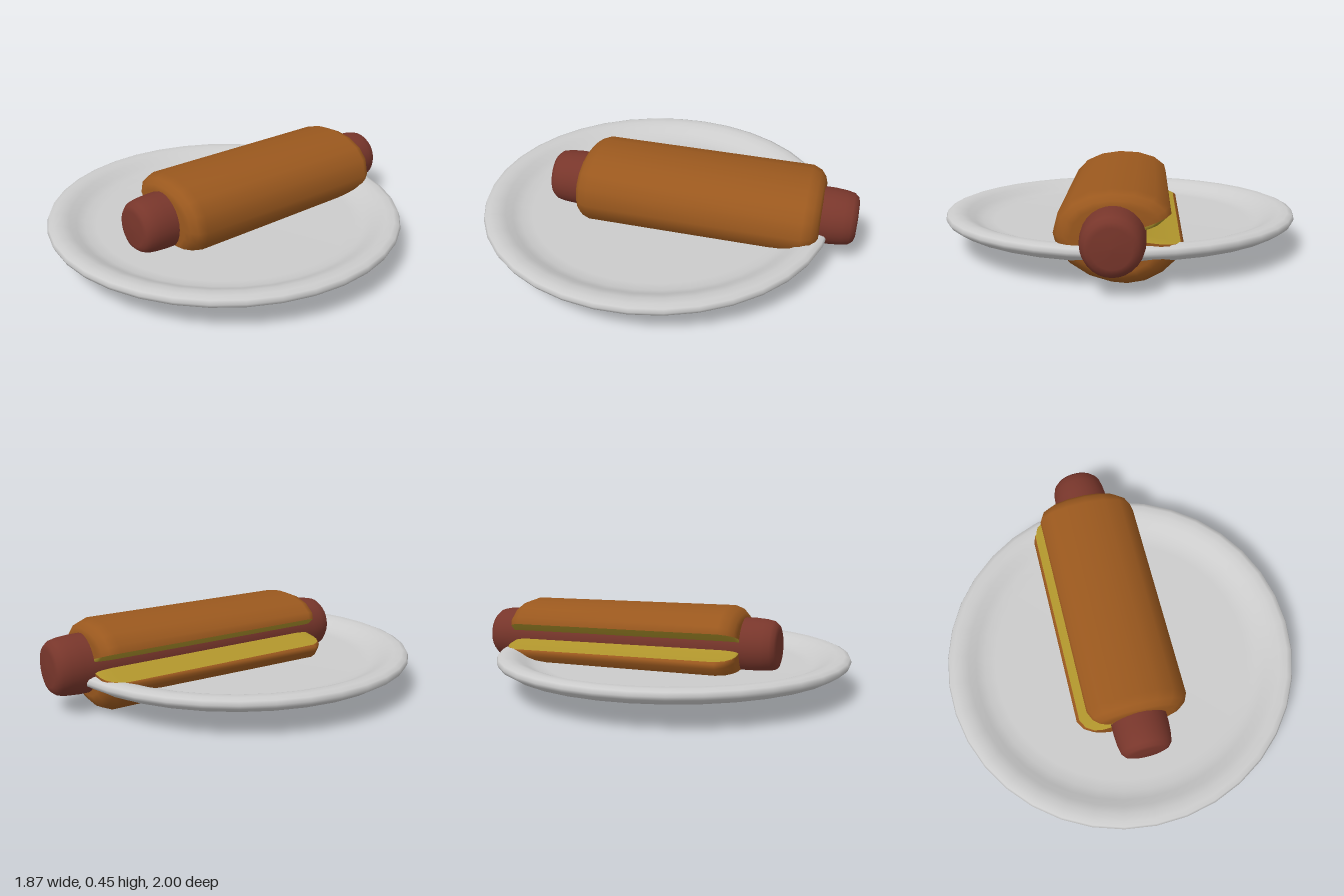
import * as THREE from 'three';

const paint = (color) => new THREE.MeshStandardMaterial({ color, roughness: 0.8 });

function lathe(name, profile, sides, material) {
  const points = profile.map(([r, y]) => new THREE.Vector2(r, y));
  const mesh = new THREE.Mesh(new THREE.LatheGeometry(points, sides), material);
  mesh.name = name;
  return mesh;
}

// Sweep a bun outline along z; each station is [z, scale about the bun's core].
const CORE_Y = 0.235;
function loft(name, outline, stations, material) {
  const pos = [], index = [], n = outline.length;
  for (const [z, s] of stations)
    for (const [x, y] of outline) pos.push(x * s, CORE_Y + (y - CORE_Y) * s, z);
  for (let j = 0; j < stations.length - 1; j++)
    for (let i = 0; i < n - 1; i++) {
      const a = j * n + i, b = a + n;
      index.push(a, b, a + 1, a + 1, b, b + 1);
    }
  const geo = new THREE.BufferGeometry();
  geo.setAttribute('position', new THREE.Float32BufferAttribute(pos, 3));
  geo.setIndex(index);
  geo.computeVertexNormals();
  const mesh = new THREE.Mesh(geo, material);
  mesh.name = name;
  return mesh;
}

export function createModel() {
  const model = new THREE.Group();
  model.name = 'hotDogOnPlate';

  // Shallow plate with a rolled rim
  const plate = lathe('plate', [
    [0, 0.1], [0.5, 0.102], [0.78, 0.11], [0.88, 0.122], [0.925, 0.15], [0.933, 0.168], [0.925, 0.187],
    [0.9, 0.197], [0.86, 0.196], [0.82, 0.183], [0.785, 0.16], [0.74, 0.142], [0.68, 0.135], [0, 0.133],
  ], 36, paint(0xcccccc));
  plate.position.z = 0.06;
  model.add(plate);

  const hotDog = new THREE.Group();
  hotDog.name = 'hotDog';
  hotDog.position.z = -0.18;
  hotDog.rotation.set(-0.009, 0.046, 0);
  model.add(hotDog);

  // Sausage with blunt rounded ends
  const end = [[0, -0.822], [0.09, -0.819], [0.115, -0.811], [0.133, -0.79], [0.142, -0.75], [0.147, -0.69]];
  const sausage = lathe('sausage',
    [...end, ...end.slice().reverse().map(([r, y]) => [r, -y])], 28, paint(0x78362b));
  sausage.rotation.x = Math.PI / 2;
  sausage.position.set(-0.01, CORE_Y, 0);
  hotDog.add(sausage);

  // Bun: crust runs from the upper lip round to the lower lip, crumb lines the slit
  const crust = [
    [-0.267, 0.33], [-0.258, 0.365], [-0.2, 0.41], [-0.11, 0.437], [0, 0.443], [0.1, 0.428], [0.185, 0.39],
    [0.242, 0.33], [0.265, 0.24], [0.248, 0.175], [0.19, 0.1], [0.1, 0.042], [0, 0.012], [-0.07, 0.006],
    [-0.15, 0.02], [-0.23, 0.062], [-0.29, 0.12], [-0.318, 0.165], [-0.325, 0.19], [-0.31, 0.2],
  ];
  const crumb = [
    [-0.31, 0.2], [-0.22, 0.215], [-0.13, 0.238], [-0.09, 0.255], [-0.13, 0.272], [-0.225, 0.293], [-0.267, 0.33],
  ];
  const half = [[-0.64, 0], [-0.64, 0.68], [-0.63, 0.8], [-0.605, 0.92], [-0.56, 1]];
  const stations = [...half, ...half.slice().reverse().map(([z, s]) => [-z, s])];
  hotDog.add(loft('bunCrust', crust, stations, paint(0x9a581e)));
  hotDog.add(loft('bunCrumb', crumb, stations, paint(0xb0952c)));

  return model;
}
